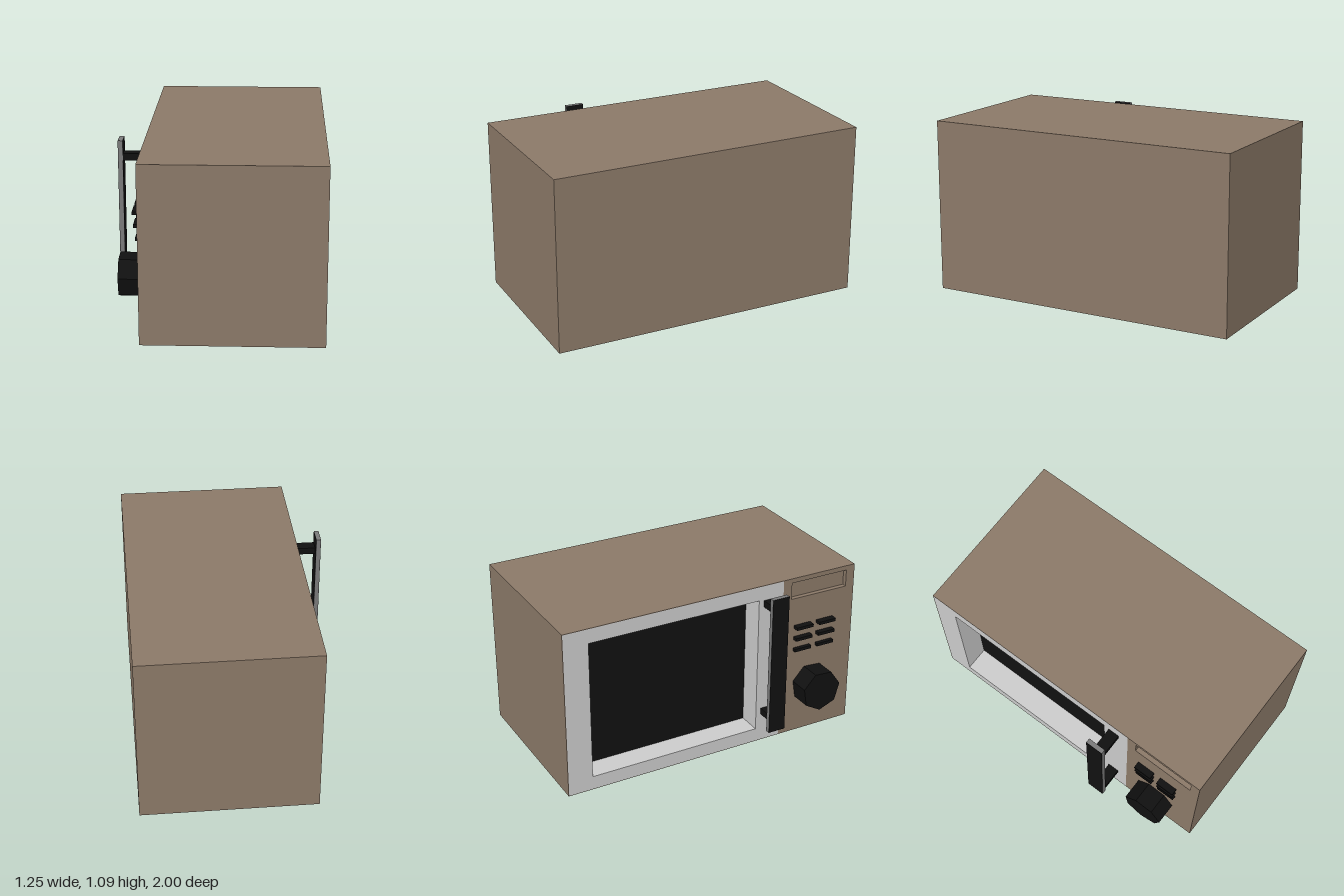
import * as THREE from 'three';

const mat = (color) => new THREE.MeshStandardMaterial({ color, flatShading: true });

export function createModel() {
  const model = new THREE.Group();
  const brown = mat(0x8b7968), grey = mat(0xcccccc), steel = mat(0x7a7a7a), black = mat(0x101010);
  const faceX = -0.46, recess = 0.156, innerX = faceX + recess;

  const add = (name, geometry, material) => {
    const mesh = new THREE.Mesh(geometry, material);
    mesh.name = name;
    model.add(mesh);
    return mesh;
  };

  // box given by its limits on each axis
  const box = (name, [x0, x1], [y0, y1], [z0, z1], material) =>
    add(name, new THREE.BoxGeometry(x1 - x0, y1 - y0, z1 - z0), material)
      .position.set((x0 + x1) / 2, (y0 + y1) / 2, (z0 + z1) / 2);

  // rectangular frame in the z-y plane, extruded out to the face at -x
  const rect = (path, [z0, z1], [y0, y1]) => {
    path.moveTo(z0, y0).lineTo(z1, y0).lineTo(z1, y1).lineTo(z0, y1).closePath();
    return path;
  };
  const frame = (name, z, y, holeZ, holeY, material) => {
    const shape = rect(new THREE.Shape(), z, y);
    shape.holes.push(rect(new THREE.Path(), holeZ, holeY));
    const mesh = add(name, new THREE.ExtrudeGeometry(shape, { depth: recess, bevelEnabled: false }), material);
    mesh.rotation.y = -Math.PI / 2;
    mesh.position.x = innerX;
  };

  // casing: solid rear and a thin sleeve around the door and panel
  box('casing', [innerX, 0.625], [0, 1.09], [-1, 1], brown);
  frame('casingSleeve', [-1, 1], [0, 1.09], [-0.997, 0.997], [0.003, 1.087], brown);

  // door frame with recessed dark window
  frame('doorFrame', [-0.997, 0.48], [0.003, 1.087], [-0.837, 0.306], [0.09, 0.995], grey);
  box('window', [innerX - 0.003, innerX], [0.09, 0.995], [-0.837, 0.306], black);

  // control panel with shallow display recess
  frame('controlPanel', [0.48, 0.997], [0.003, 1.087], [0.54, 0.94], [0.95, 1.06], brown);
  box('display', [faceX + 0.03, innerX], [0.95, 1.06], [0.54, 0.94], brown);

  // handle: bar with dark broad faces on two standoffs
  box('handleBar', [-0.624, -0.596], [0.15, 1.07], [0.3, 0.415], steel);
  box('handleFront', [-0.625, -0.624], [0.15, 1.07], [0.3, 0.415], black);
  box('handleBack', [-0.596, -0.595], [0.15, 1.07], [0.3, 0.415], black);
  for (const y of [0.19, 0.947]) box('handleStandoff', [-0.595, faceX], [y, y + 0.043], [0.34, 0.413], black);

  // three rows of two buttons, each row a little flatter than the one above
  [[0.755, 0.042], [0.677, 0.036], [0.597, 0.026]].forEach(([y, depth]) => {
    for (const z of [0.565, 0.73]) box('button', [faceX - depth, faceX], [y - 0.01, y + 0.01], [z, z + 0.12], black);
  });

  // seven-sided knob, axis along x
  const outline = new THREE.Shape(Array.from({ length: 7 }, (_, i) => {
    const a = THREE.MathUtils.degToRad(9) + (i * 2 * Math.PI) / 7;
    return new THREE.Vector2(0.136 * Math.cos(a), 0.136 * Math.sin(a));
  }));
  const knob = add('knob', new THREE.ExtrudeGeometry(outline, { depth: 0.135, bevelEnabled: false }), black);
  knob.rotation.y = -Math.PI / 2;
  knob.position.set(faceX, 0.326, 0.706);

  return model;
}
